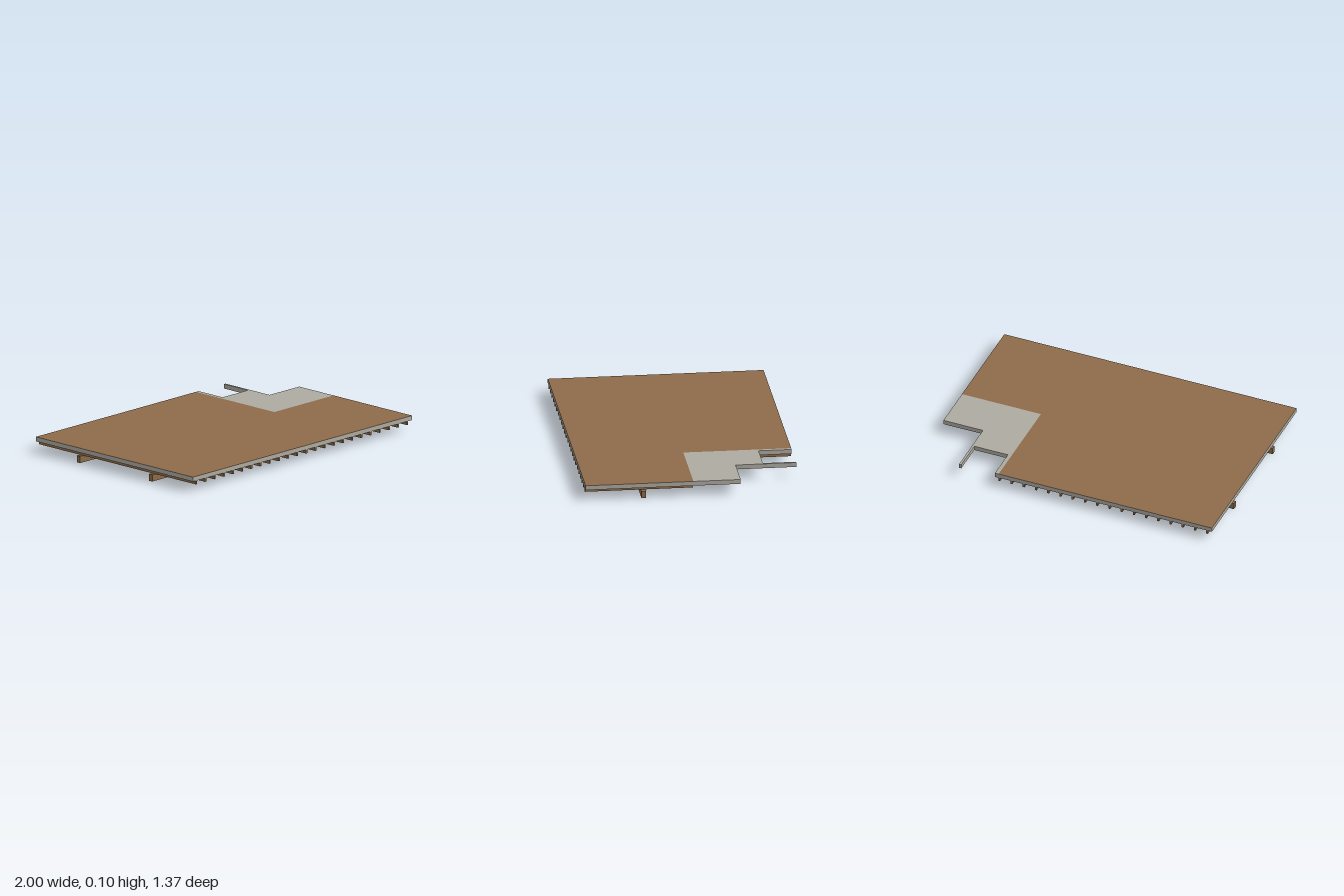
import * as THREE from 'three';

const HALF_X = 1, HALF_Z = 0.685;
const JOIST_Y = 0.044, SLAB_Y = 0.068, TOP_Y = 0.097;

export function createModel() {
  const wood = new THREE.MeshStandardMaterial({ color: 0x8d6b49 });
  wood.name = 'brownWood';
  const grey = new THREE.MeshStandardMaterial({ color: 0xaeaaa1 });
  grey.name = 'greyTrim';

  const model = new THREE.Group();
  model.name = 'deckPlatform';

  // Flat slab from an [x, z] outline, with its own underside, top and edge colours
  function slab(name, outline, topMaterial) {
    const shape = new THREE.Shape(outline.map(([x, z]) => new THREE.Vector2(x, -z)));
    const geometry = new THREE.ExtrudeGeometry(shape, { depth: TOP_Y - SLAB_Y, bevelEnabled: false });
    const [caps, sides] = geometry.groups.map((g) => ({ ...g }));
    geometry.clearGroups();
    geometry.addGroup(0, caps.count / 2, 0);
    geometry.addGroup(caps.count / 2, caps.count / 2, 1);
    geometry.addGroup(sides.start, sides.count, 2);
    geometry.rotateX(-Math.PI / 2);
    const mesh = new THREE.Mesh(geometry, [wood, topMaterial, grey]);
    mesh.name = name;
    mesh.position.y = SLAB_Y;
    model.add(mesh);
  }

  // Timber between two corners
  function timber(name, x0, x1, y0, y1, z0, z1, parent) {
    const mesh = new THREE.Mesh(new THREE.BoxGeometry(x1 - x0, y1 - y0, z1 - z0), wood);
    mesh.position.set((x0 + x1) / 2, (y0 + y1) / 2, (z0 + z1) / 2);
    mesh.name = name;
    parent.add(mesh);
  }

  // L-shaped wooden floor
  slab('floorDeck', [
    [-HALF_X, HALF_Z], [HALF_X, HALF_Z], [HALF_X, 0],
    [0.46, 0], [0.46, -HALF_Z], [-HALF_X, -HALF_Z],
  ], wood);

  // Grey landing with the stair notch and narrow wall strip
  slab('landing', [
    [0.46, 0], [HALF_X, 0], [HALF_X, -0.3], [0.73, -0.3], [0.73, -HALF_Z],
    [0.715, -HALF_Z], [0.715, -0.475], [0.485, -0.475], [0.485, -HALF_Z], [0.46, -HALF_Z],
  ], grey);

  // Joists, cut short where the landing begins
  const joists = new THREE.Group();
  joists.name = 'joists';
  for (let i = 0; i < 24; i++) {
    const x = -0.967 + i * 0.0837;
    timber('joist', x - 0.006, x + 0.006, JOIST_Y, SLAB_Y, x < 0.47 ? -HALF_Z : 0, HALF_Z, joists);
  }
  model.add(joists);

  // Bearer beams
  timber('frontBeam', -HALF_X, HALF_X, 0, JOIST_Y, 0.3, 0.33, model);
  timber('backBeam', -HALF_X, 0.48, 0, JOIST_Y, -0.328, -0.298, model);

  return model;
}
